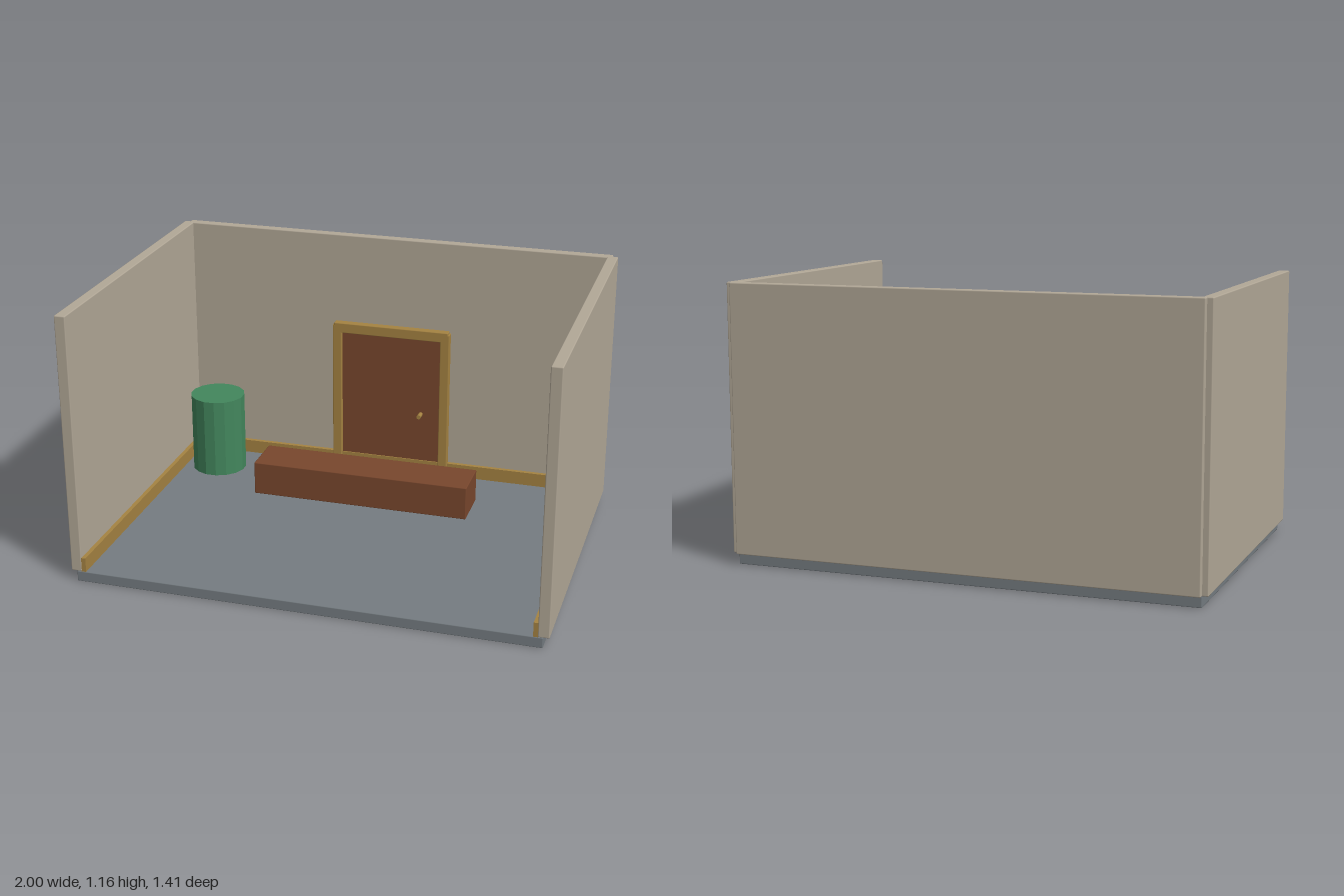
import * as THREE from 'three';
import { RoundedBoxGeometry } from 'three/addons/geometries/RoundedBoxGeometry.js';

const paint = (name, color) => Object.assign(new THREE.MeshStandardMaterial({ color }), { name });

export function createModel() {
  const room = new THREE.Group();
  room.name = 'room';
  const wallPaint = paint('wall beige', 0xb2a897);
  const slate = paint('floor slate', 0x757c81);
  const oak = paint('trim oak', 0xa58342);
  const redwood = paint('red brown wood', 0x79472d);
  const green = paint('green', 0x43875d);

  const add = (name, geometry, material) => {
    const mesh = new THREE.Mesh(geometry, material);
    mesh.name = name;
    room.add(mesh);
    return mesh;
  };

  // Box given by its limits, with an optional softened edge
  const box = (name, material, [x0, x1], [y0, y1], [z0, z1], bevel = 0) => {
    const size = [x1 - x0, y1 - y0, z1 - z0];
    const geometry = bevel
      ? new RoundedBoxGeometry(...size, 1, bevel)
      : new THREE.BoxGeometry(...size);
    add(name, geometry, material).position.set((x0 + x1) / 2, (y0 + y1) / 2, (z0 + z1) / 2);
  };

  // Shell: floor slab and three walls
  box('floor', slate, [-0.975, 0.975], [0, 0.046], [-0.682, 0.705], 0.004);
  box('backWall', wallPaint, [-0.975, 0.975], [0.046, 1.16], [-0.708, -0.664], 0.005);
  box('backBaseboard', oak, [-0.953, 0.953], [0.045, 0.107], [-0.666, -0.645]);

  // Side walls, side baseboards and door posts, mirrored
  for (const [side, s] of [['left', 1], ['right', -1]]) {
    const span = (a, b) => (s > 0 ? [a, b] : [-b, -a]);
    box(side + 'Wall', wallPaint, span(0.953, 1), [0.046, 1.16], [-0.684, 0.705], 0.005);
    box(side + 'Baseboard', oak, span(0.935, 0.955), [0.045, 0.107], [-0.664, 0.703]);
    box(side + 'DoorPost', oak, span(0.232, 0.274), [0.045, 0.742], [-0.668, -0.63], 0.004);
  }

  // Door with header and knob
  box('doorHeader', oak, [-0.268, 0.268], [0.705, 0.752], [-0.668, -0.63], 0.004);
  box('door', redwood, [-0.234, 0.234], [0.046, 0.707], [-0.668, -0.65]);
  const knob = add('doorKnob', new THREE.CylinderGeometry(0.01, 0.01, 0.042, 12), oak);
  knob.rotation.x = Math.PI / 2;
  knob.position.set(0.143, 0.338, -0.631);

  // Long counter block
  box('counter', redwood, [-0.483, 0.483], [0.097, 0.246], [-0.315, -0.112], 0.004);

  // Sixteen-sided drum in the corner
  const drumShape = new THREE.CylinderGeometry(0.124, 0.124, 0.364, 16);
  drumShape.rotateY(Math.PI / 16);
  const drumGreen = green;
  drumGreen.flatShading = true;
  add('drum', drumShape, drumGreen).position.set(-0.782, 0.227, -0.465);

  return room;
}
